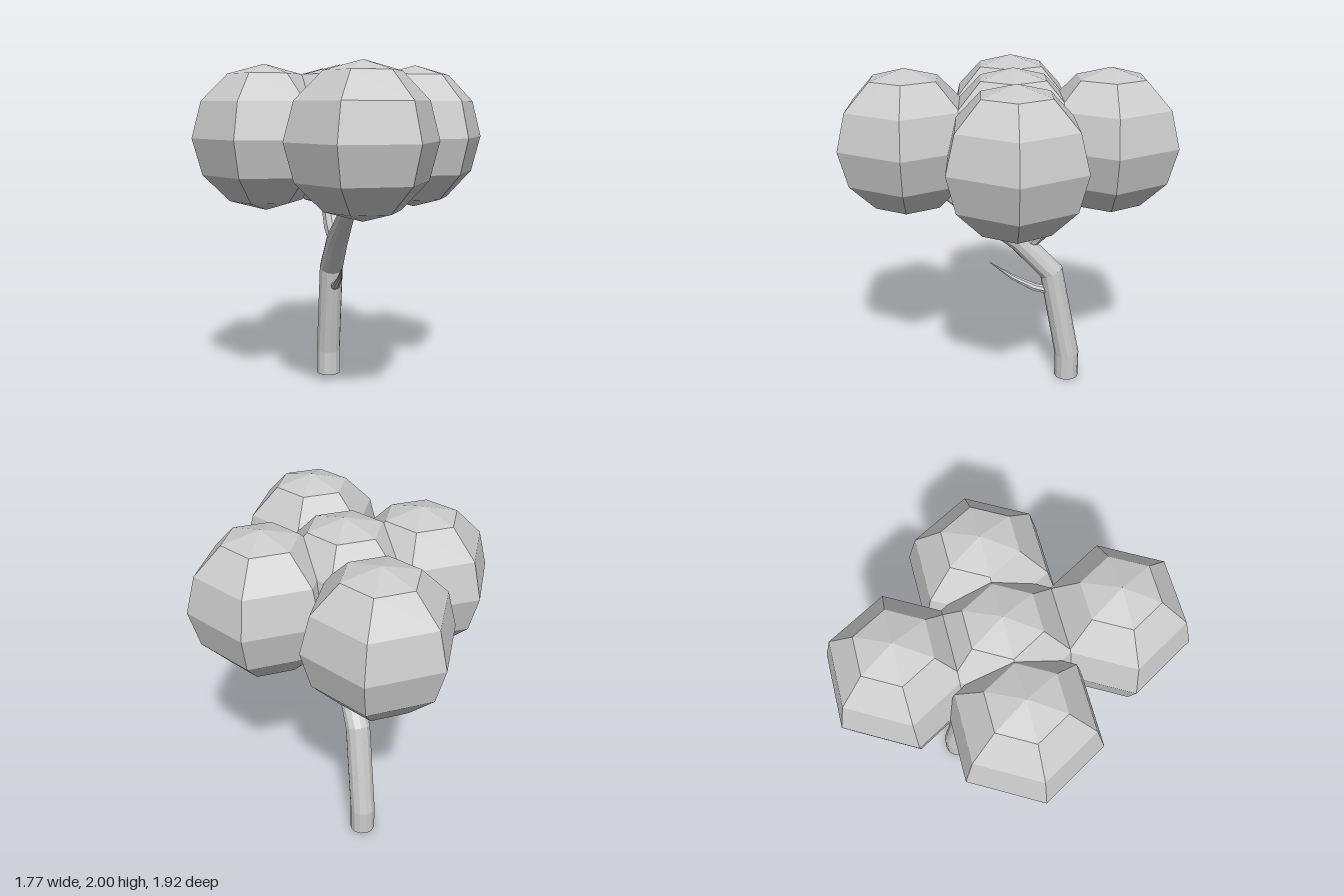
import * as THREE from 'three';

const material = new THREE.MeshStandardMaterial({ color: 0xcccccc, flatShading: true });

// Tapered limb: rings of the given radius swept along points [x, y, z, radius], closed at both ends
function limb(name, points, sides) {
  const centres = points.map(([x, y, z]) => new THREE.Vector3(x, y, z));
  const positions = [];
  const indices = [];
  const xAxis = new THREE.Vector3(1, 0, 0);
  const last = centres.length - 1;

  centres.forEach((c, i) => {
    const before = c.clone().sub(centres[Math.max(i - 1, 0)]).normalize();
    const after = centres[Math.min(i + 1, last)].clone().sub(c).normalize();
    const tangent = before.clone().add(after).normalize();
    const normal = tangent.clone().cross(xAxis).normalize();
    const side = normal.clone().cross(tangent).normalize();
    for (let k = 0; k < sides; k++) {
      const a = (k / sides) * Math.PI * 2;
      const p = c.clone()
        .addScaledVector(side, Math.cos(a) * points[i][3])
        .addScaledVector(normal, Math.sin(a) * points[i][3]);
      positions.push(p.x, p.y, p.z);
    }
  });

  for (let i = 0; i < last; i++) {
    for (let k = 0; k < sides; k++) {
      const n = (k + 1) % sides;
      const a = i * sides + k, b = i * sides + n;
      indices.push(a, b, b + sides, a, b + sides, a + sides);
    }
  }
  // End caps
  const top = last * sides;
  for (let k = 1; k < sides - 1; k++) {
    indices.push(0, k + 1, k, top, top + k, top + k + 1);
  }

  const geometry = new THREE.BufferGeometry();
  geometry.setAttribute('position', new THREE.Float32BufferAttribute(positions, 3));
  geometry.setIndex(indices);
  geometry.computeVertexNormals();
  const mesh = new THREE.Mesh(geometry, material);
  mesh.name = name;
  return mesh;
}

export function createModel() {
  const tree = new THREE.Group();
  tree.name = 'tree';

  // Leaning trunk that bends forward into the front foliage
  tree.add(limb('trunk', [
    [-0.015, 0, -0.38, 0.077],
    [-0.015, 0.16, -0.38, 0.077],
    [-0.015, 0.735, -0.27, 0.075],
    [-0.015, 0.945, -0.07, 0.068],
    [-0.015, 1.255, 0.37, 0.036],
    [-0.015, 1.3, 0.44, 0.03],
  ], 12));

  // Branch reaching back
  tree.add(limb('backBranch', [
    [-0.015, 0.92, -0.12, 0.045],
    [-0.015, 1.0, -0.18, 0.062],
    [-0.015, 1.215, -0.4, 0.051],
    [-0.015, 1.3, -0.49, 0.045],
  ], 10));

  // Small pointed twig on the front of the trunk
  tree.add(limb('twig', [
    [0, 0.61, -0.26, 0.026],
    [-0.005, 0.635, -0.16, 0.025],
    [-0.012, 0.7, -0.03, 0.017],
    [-0.025, 0.795, 0.11, 0.002],
  ], 8));

  // Five faceted foliage balls in a cross
  const ball = new THREE.SphereGeometry(0.428, 6, 6);
  const balls = {
    centreFoliage: [-0.01, -0.03],
    frontFoliage: [-0.01, 0.59],
    backFoliage: [-0.01, -0.59],
    leftFoliage: [0.457, -0.03],
    rightFoliage: [-0.457, -0.03],
  };
  for (const [name, [x, z]] of Object.entries(balls)) {
    const mesh = new THREE.Mesh(ball, material);
    mesh.name = name;
    mesh.position.set(x, 1.572, z);
    tree.add(mesh);
  }
  return tree;
}
